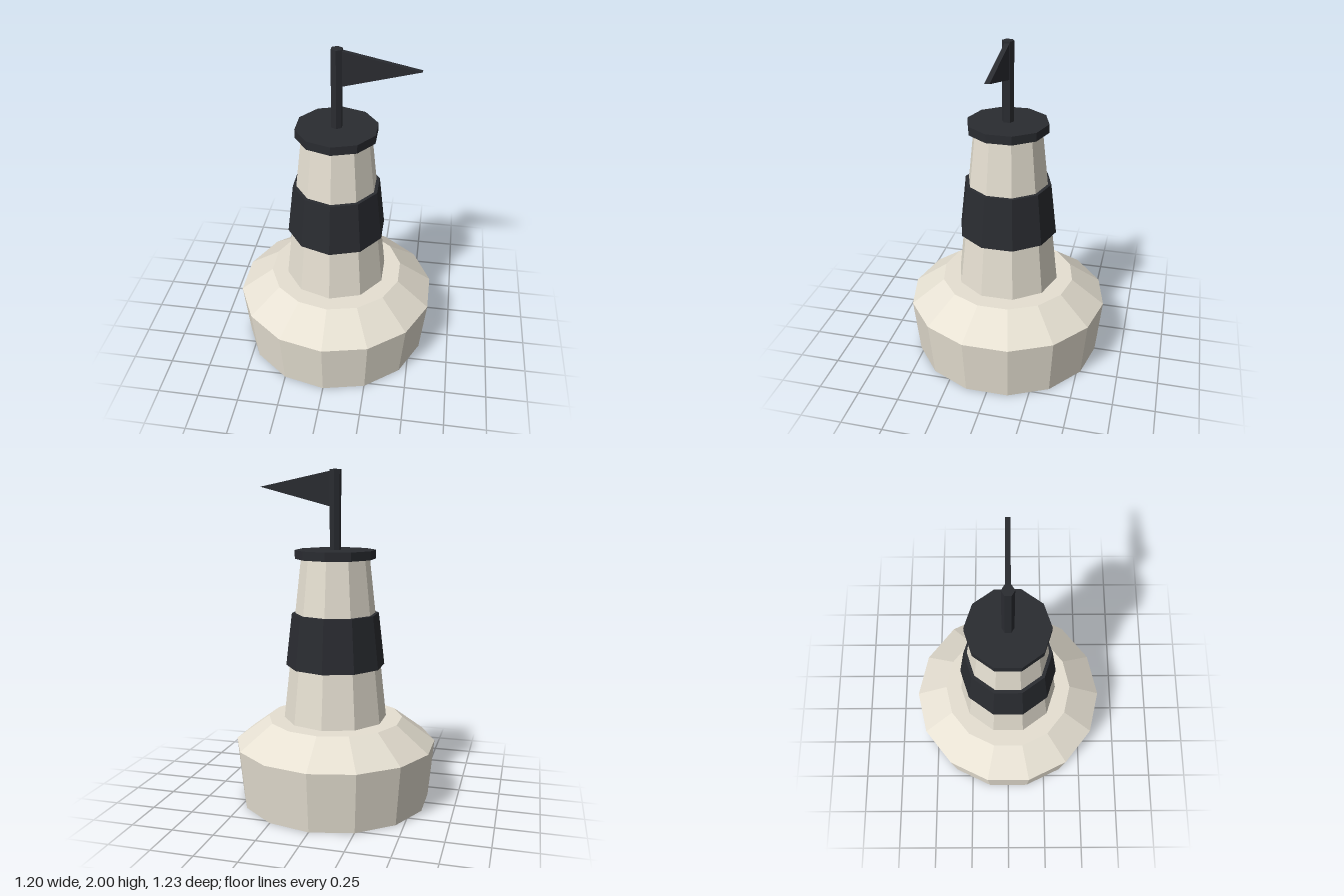
import * as THREE from 'three';

const cream = new THREE.MeshStandardMaterial({ color: 0xe6e0d2, flatShading: true });
const dark = new THREE.MeshStandardMaterial({ color: 0x2a2c31, flatShading: true });

export function createModel() {
  const model = new THREE.Group();

  const add = (name, geometry, material) => {
    const mesh = new THREE.Mesh(geometry, material);
    mesh.name = name;
    model.add(mesh);
  };

  // Faceted drum between two heights, with a corner facing the front
  const drum = (rTop, rBottom, y0, y1, sides) =>
    new THREE.CylinderGeometry(rTop, rBottom, y1 - y0, sides).translate(0, (y0 + y1) / 2, 0);

  // Float: flared hull and sloping shoulder as one closed profile
  const profile = [[0, 0], [0.58, 0], [0.615, 0.357], [0.412, 0.507], [0, 0.507]];
  add('float', new THREE.LatheGeometry(profile.map(([r, y]) => new THREE.Vector2(r, y)), 14), cream);

  // Tower with its band and top plate
  add('tower', drum(0.205, 0.315, 0.5, 1.49, 10), cream);
  add('band', drum(0.263, 0.3, 0.836, 1.154, 10), dark);
  add('topPlate', drum(0.242, 0.242, 1.48, 1.532, 10), dark);

  // Pole and pennant
  add('pole', drum(0.035, 0.035, 1.52, 2, 6), dark);
  const pennant = new THREE.Shape([
    new THREE.Vector2(0.02, 1.783),
    new THREE.Vector2(0.463, 1.9),
    new THREE.Vector2(0.02, 1.992),
  ]);
  const depth = 0.028;
  add('pennant', new THREE.ExtrudeGeometry(pennant, { depth, bevelEnabled: false }).translate(0, 0, -depth / 2), dark);

  return model;
}
